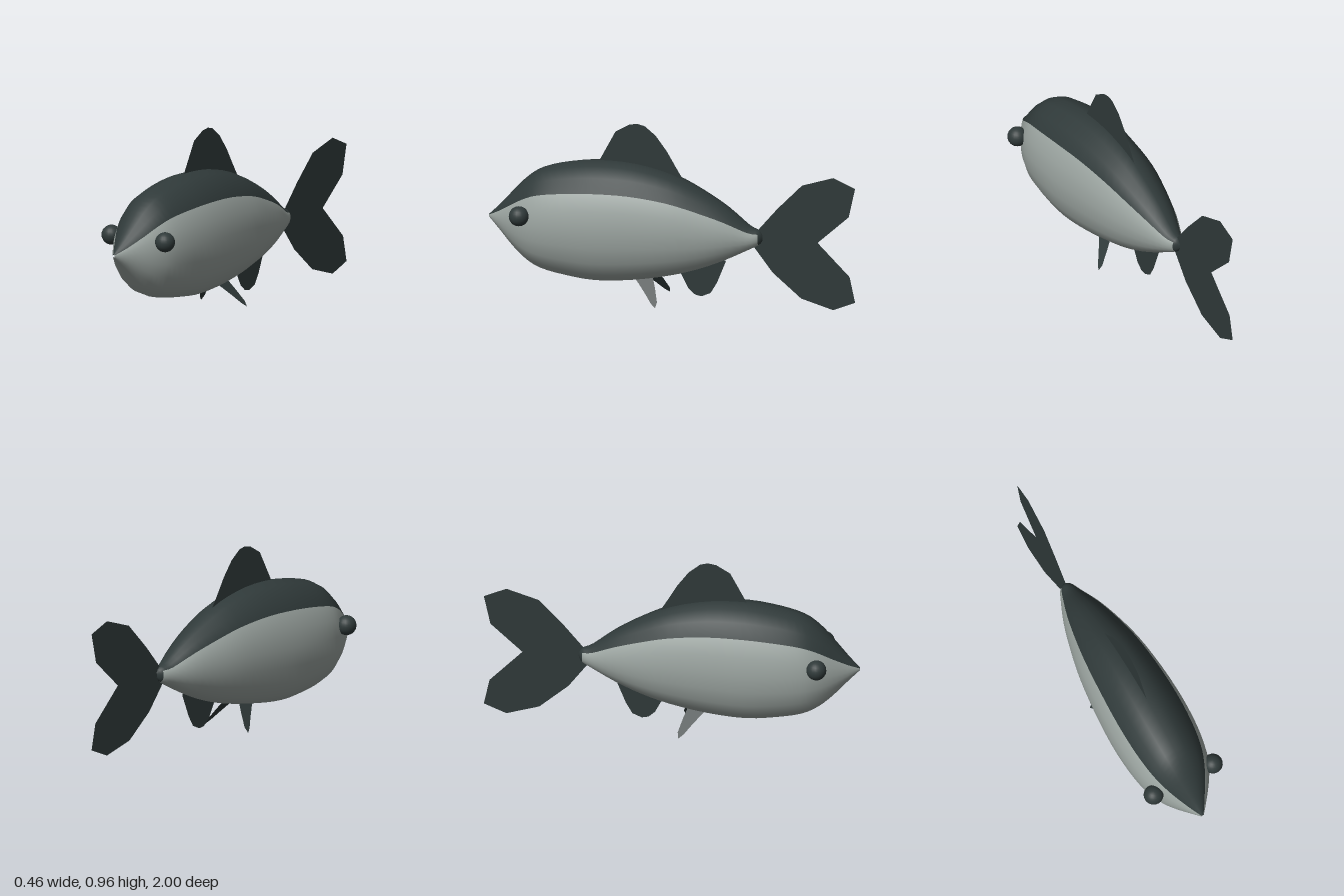
import * as THREE from 'three';

const dark = new THREE.MeshStandardMaterial({ color: 0x303a3a });
dark.name = 'darkSlate';
const pale = new THREE.MeshStandardMaterial({ color: 0x9da6a2 });
pale.name = 'paleGrey';
const finMaterial = new THREE.MeshStandardMaterial({ color: 0x2f3939, side: THREE.DoubleSide });
finMaterial.name = 'finSlate';

// Body cross-sections from nose to tail: z, top y, bottom y, half width
const SECTIONS = [
  [1.0, 0.4, 0.385, 0.006], [0.94, 0.46, 0.325, 0.055], [0.86, 0.55, 0.24, 0.115],
  [0.785, 0.628, 0.176, 0.16], [0.7, 0.685, 0.133, 0.192], [0.57, 0.722, 0.107, 0.213],
  [0.4, 0.746, 0.09, 0.22], [0.2, 0.741, 0.107, 0.21], [0, 0.697, 0.146, 0.187],
  [-0.16, 0.625, 0.195, 0.153], [-0.3, 0.543, 0.255, 0.112], [-0.42, 0.452, 0.318, 0.062],
  [-0.475, 0.428, 0.348, 0.034], [-0.495, 0.4, 0.375, 0.004],
];
const SIDES = 20;

function bodyGeometry() {
  const heights = new THREE.CatmullRomCurve3(SECTIONS.map(([z, t, b]) => new THREE.Vector3(z, t, b)), false, 'catmullrom');
  const widths = new THREE.CatmullRomCurve3(SECTIONS.map(([z, , , w]) => new THREE.Vector3(z, w, 0)), false, 'catmullrom');
  const rings = (SECTIONS.length - 1) * 3;
  const positions = [];
  for (let i = 0; i <= rings; i++) {
    const { x: z, y: top, z: bottom } = heights.getPoint(i / rings);
    const w = widths.getPoint(i / rings).y;
    for (let j = 0; j < SIDES; j++) {
      const a = (j / SIDES) * Math.PI * 2;
      const c = Math.cos(a), s = Math.sin(a);
      // The belly is a little fuller than an ellipse
      const x = s < -0.001 ? Math.sign(c) * Math.pow(Math.abs(c), 0.86) : c;
      positions.push(x * w, (top + bottom) / 2 + s * (top - bottom) / 2, z);
    }
  }
  // Dark back spans 36 to 144 degrees; the flanks and belly are pale
  const back = [], belly = [];
  for (let i = 0; i < rings; i++) {
    for (let j = 0; j < SIDES; j++) {
      const k = (j + 1) % SIDES;
      const a = i * SIDES + j, b = i * SIDES + k;
      const isBack = (j >= 2 && j < 8) || i >= rings - 3;
      (isBack ? back : belly).push(a, a + SIDES, b, b, a + SIDES, b + SIDES);
    }
  }
  const geometry = new THREE.BufferGeometry();
  geometry.setAttribute('position', new THREE.Float32BufferAttribute(positions, 3));
  geometry.setIndex([...back, ...belly]);
  geometry.addGroup(0, back.length, 0);
  geometry.addGroup(back.length, belly.length, 1);
  geometry.computeVertexNormals();
  return geometry;
}

// Flat fin outlined by [z, y] points; xAt gives its sideways lean
function fin(name, points, xAt = () => 0) {
  const geometry = new THREE.ShapeGeometry(new THREE.Shape(points.map(([z, y]) => new THREE.Vector2(z, y))));
  const p = geometry.attributes.position;
  for (let i = 0; i < p.count; i++) {
    const z = p.getX(i), y = p.getY(i);
    p.setXYZ(i, xAt(y), y, z);
  }
  geometry.computeVertexNormals();
  const mesh = new THREE.Mesh(geometry, finMaterial);
  mesh.name = name;
  return mesh;
}

export function createModel() {
  const model = new THREE.Group();
  model.name = 'fish';

  const body = new THREE.Mesh(bodyGeometry(), [dark, pale]);
  body.name = 'body';
  model.add(body);

  model.add(fin('dorsalFin', [
    [0.4, 0.74], [0.31, 0.91], [0.235, 0.955], [0.19, 0.963], [0.15, 0.953], [0.09, 0.905],
    [0.03, 0.825], [-0.02, 0.74], [-0.075, 0.65], [0.05, 0.62], [0.35, 0.7],
  ]));
  model.add(fin('tailFin', [
    [-0.44, 0.4], [-0.47, 0.43], [-0.575, 0.555], [-0.71, 0.695], [-0.88, 0.75], [-1, 0.7],
    [-0.965, 0.54], [-0.795, 0.385], [-0.97, 0.21], [-1, 0.07], [-0.88, 0.02], [-0.705, 0.07],
    [-0.55, 0.2], [-0.45, 0.33],
  ]));
  model.add(fin('analFin', [
    [-0.04, 0.17], [-0.09, 0.075], [-0.125, 0.045], [-0.16, 0.038], [-0.21, 0.06],
    [-0.245, 0.12], [-0.295, 0.245], [-0.2, 0.26],
  ]));

  // Paired pelvic fins and eyes
  for (const [side, s] of [['left', 1], ['right', -1]]) {
    model.add(fin(side + 'PelvicFin', [
      [0.19, 0.13], [0.165, 0.108], [0.117, 0.06], [0.08, 0.02], [0.053, 0], [0.047, 0.027],
      [0.07, 0.09], [0.09, 0.135],
    ], (y) => s * (0.153 - y * 0.72)));
    const eye = new THREE.Mesh(new THREE.SphereGeometry(0.053, 20, 14), dark);
    eye.name = side + 'Eye';
    eye.position.set(s * 0.179, 0.457, 0.79);
    model.add(eye);
  }
  return model;
}
